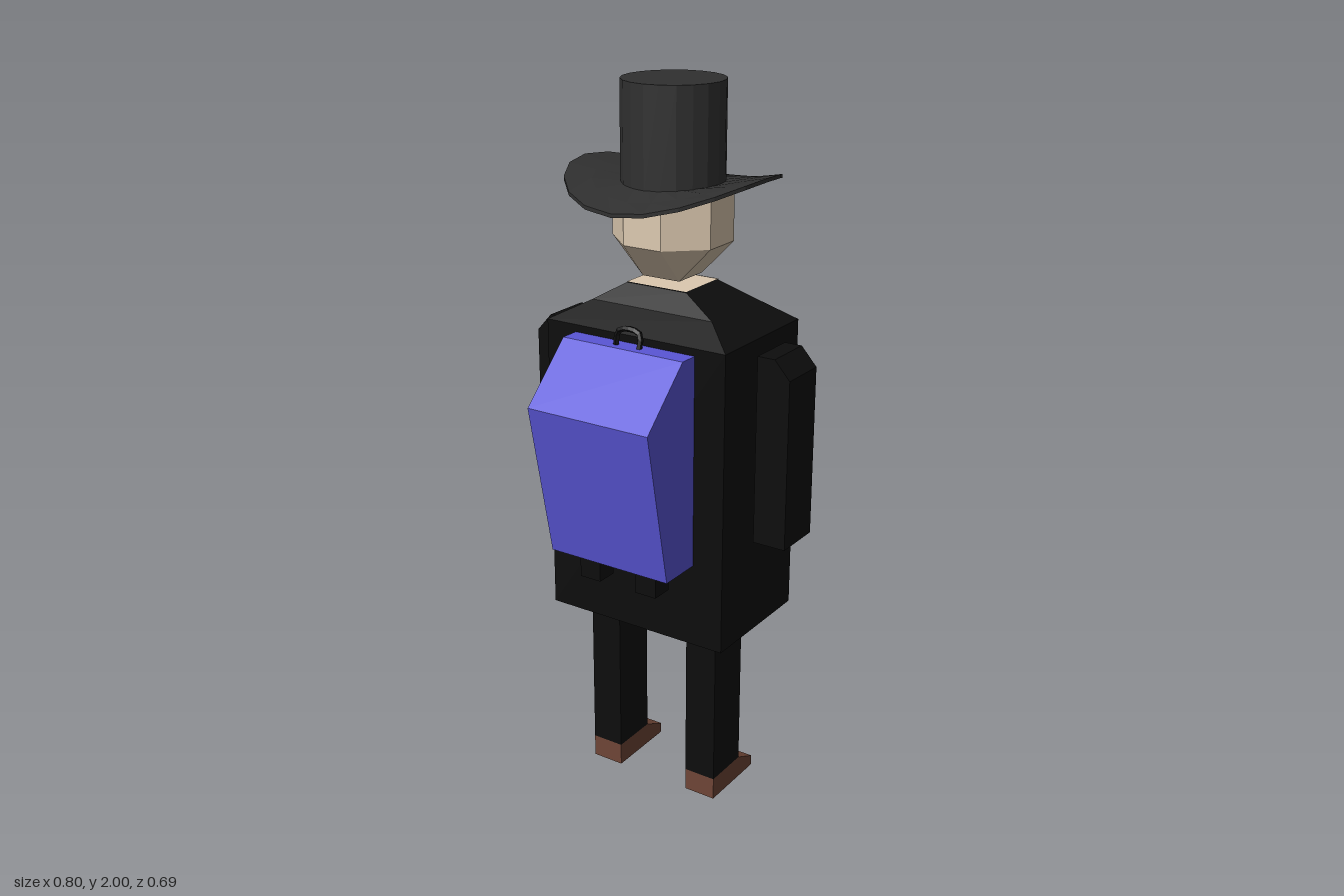
import * as THREE from 'three';
import { ConvexGeometry } from 'three/addons/geometries/ConvexGeometry.js';
import { toCreasedNormals } from 'three/addons/utils/BufferGeometryUtils.js';

const mat = (color, side = THREE.FrontSide) =>
  new THREE.MeshStandardMaterial({ color, side, flatShading: true });
const COAT = mat(0x0d0d0d), HAT = mat(0x303030, THREE.DoubleSide), SKIN = mat(0xdcc9b0, THREE.DoubleSide);
const BLUE = mat(0x5a56d6), SHOE = mat(0x6e4536);
const SHIRT = mat(0xdddddd, THREE.DoubleSide), TIE = mat(0xe01c10, THREE.DoubleSide);

function add(parent, name, geometry, material, x = 0, y = 0, z = 0) {
  const mesh = new THREE.Mesh(geometry, material);
  mesh.name = name;
  mesh.position.set(x, y, z);
  parent.add(mesh);
  return mesh;
}

// Extrusion of an (x, y) outline, centred in depth
function slab(points, depth) {
  const shape = new THREE.Shape(points.map(p => new THREE.Vector2(...p)));
  return new THREE.ExtrudeGeometry(shape, { depth, bevelEnabled: false }).translate(0, 0, -depth / 2);
}
// Extrusion of a side (z, y) outline across x
const sideSlab = (points, width) => slab(points, width).rotateY(-Math.PI / 2);

// Convex hull of points, each mirrored in x
const hull = points => new ConvexGeometry(points.flatMap(([x, y, z]) =>
  [new THREE.Vector3(x, y, z), new THREE.Vector3(-x, y, z)]));

// Stack of rectangular sections [y, halfWidth, backZ, frontZ]
function loft(sections) {
  const pos = [], idx = [];
  for (const [y, w, b, f] of sections) pos.push(-w, y, b, w, y, b, w, y, f, -w, y, f);
  for (let s = 0; s < sections.length - 1; s++)
    for (let i = 0; i < 4; i++) {
      const a = s * 4 + i, c = s * 4 + (i + 1) % 4;
      idx.push(a, c, c + 4, a, c + 4, a + 4);
    }
  const t = (sections.length - 1) * 4;
  idx.push(t, t + 1, t + 2, t, t + 2, t + 3);
  const g = new THREE.BufferGeometry();
  g.setAttribute('position', new THREE.Float32BufferAttribute(pos, 3));
  g.setIndex(idx);
  const flat = g.toNonIndexed();
  flat.computeVertexNormals();
  return flat;
}

// Flat shape on the sloping chest: x across, t from collar (0) to lapel point (1)
function chestPatch(points, lift) {
  const g = new THREE.ShapeGeometry(new THREE.Shape(points.map(p => new THREE.Vector2(...p))));
  const p = g.attributes.position;
  for (let i = 0; i < p.count; i++) {
    const t = p.getY(i);
    p.setXYZ(i, p.getX(i), 1.475 - 0.105 * t + lift * 0.72, -0.13 - 0.109 * t - lift * 0.69);
  }
  g.computeVertexNormals();
  return g;
}

function makeHat() {
  const hat = new THREE.Group();
  hat.name = 'hat';
  hat.position.set(-0.003, 0, -0.0625);
  const crown = toCreasedNormals(new THREE.CylinderGeometry(0.137, 0.137, 0.28, 20), 0.6);
  add(hat, 'hatCrown', crown, HAT, 0, 1.86, 0);

  // Brim: a thin ring, rolled up at the sides and down at front and back
  const profile = [[0.12, 1.722], [0.21, 1.726], [0.282, 1.732], [0.282, 1.742], [0.21, 1.741], [0.12, 1.74]];
  const brim = new THREE.LatheGeometry(profile.map(p => new THREE.Vector2(...p)), 20);
  const p = brim.attributes.position;
  for (let i = 0; i < p.count; i++) {
    const x = p.getX(i), z = p.getZ(i), r = Math.hypot(x, z);
    const k = Math.max(0, (r - 0.12) / 0.162);
    p.setY(i, p.getY(i) + 0.036 * k * (x * x - z * z) / (r * r));
  }
  brim.computeVertexNormals();
  add(hat, 'hatBrim', brim, HAT);
  return hat;
}

function makeBackpack() {
  const pack = new THREE.Group();
  pack.name = 'backpack';
  pack.position.x = 0.003;
  add(pack, 'packBody', sideSlab(
    [[0.125, 0.765], [0.255, 0.765], [0.342, 1.2], [0.185, 1.35], [0.125, 1.35]], 0.372), BLUE);
  // Strap ends hanging below the pack
  for (const s of [-1, 1])
    add(pack, 'strapEnd', new THREE.BoxGeometry(0.065, 0.1, 0.062), COAT, s * 0.09 + 0.005, 0.74, 0.19);
  // Carrying loop on top
  const loop = new THREE.CatmullRomCurve3([[-0.035, 1.34, 0.16], [-0.033, 1.385, 0.15], [0, 1.395, 0.149],
    [0.033, 1.385, 0.15], [0.035, 1.34, 0.16]].map(p => new THREE.Vector3(...p)));
  add(pack, 'carryLoop', new THREE.TubeGeometry(loop, 10, 0.008, 5), COAT);
  return pack;
}

export function createModel() {
  const figure = new THREE.Group();
  figure.name = 'figure';

  // Coat: long body with a raised front panel, then sloping shoulders
  const coat = new THREE.Group();
  coat.name = 'coat';
  coat.position.x = 0.002;
  add(coat, 'coatBody', hull([
    [0.278, 0.53, 0.13], [0.278, 0.53, -0.239], [0.278, 1.37, 0.13], [0.278, 1.37, -0.239],
    [0.2, 0.65, -0.254], [0.2, 1.25, -0.254]]), COAT);
  add(coat, 'coatShoulders', loft([
    [1.37, 0.278, 0.13, -0.239], [1.42, 0.187, 0.05, -0.187], [1.475, 0.093, 0.025, -0.13]]), COAT);
  add(coat, 'neck', new THREE.PlaneGeometry(0.186, 0.155).rotateX(-Math.PI / 2), SKIN, 0, 1.477, -0.0525);
  add(coat, 'shirtFront', chestPatch([[-0.093, 0], [0.093, 0], [0, 1]], 0.003), SHIRT);
  add(coat, 'tie', chestPatch([[-0.022, 0], [0.022, 0], [0.009, 0.25], [0.024, 0.72],
    [0, 0.98], [-0.024, 0.72], [-0.009, 0.25]], 0.006), TIE);
  figure.add(coat);

  // Arms, legs and shoes
  for (const s of [-1, 1]) {
    const side = s > 0 ? 'left' : 'right';
    const arm = s > 0
      ? [[0.305, 0.82], [0.4, 0.82], [0.4, 1.29], [0.355, 1.34], [0.305, 1.34]]
      : [[-0.305, 1.34], [-0.355, 1.34], [-0.4, 1.29], [-0.4, 0.82], [-0.305, 0.82]];
    add(figure, side + 'Arm', slab(arm, 0.14), COAT, 0, 0, -0.055);
    const x = s * 0.161 + 0.007;
    add(figure, side + 'Leg', new THREE.BoxGeometry(0.095, 0.457, 0.138), COAT, x, 0.2935, -0.016);
    add(figure, side + 'Shoe', sideSlab(
      [[0.053, 0], [0.053, 0.065], [-0.085, 0.065], [-0.16, 0.03], [-0.16, 0]], 0.095), SHOE, x);
  }

  // Head: eight-sided, narrowing to a square chin
  const head = [];
  for (const y of [1.59, 1.73])
    for (const z of [-1, 1]) head.push([0.152, y, z * 0.057], [0.057, y, z * 0.143]);
  for (const z of [-1, 1]) head.push([0.057, 1.492, z * 0.055]);
  add(figure, 'head', hull(head), SKIN, -0.002, 0, -0.0585);

  figure.add(makeHat(), makeBackpack());
  return figure;
}
